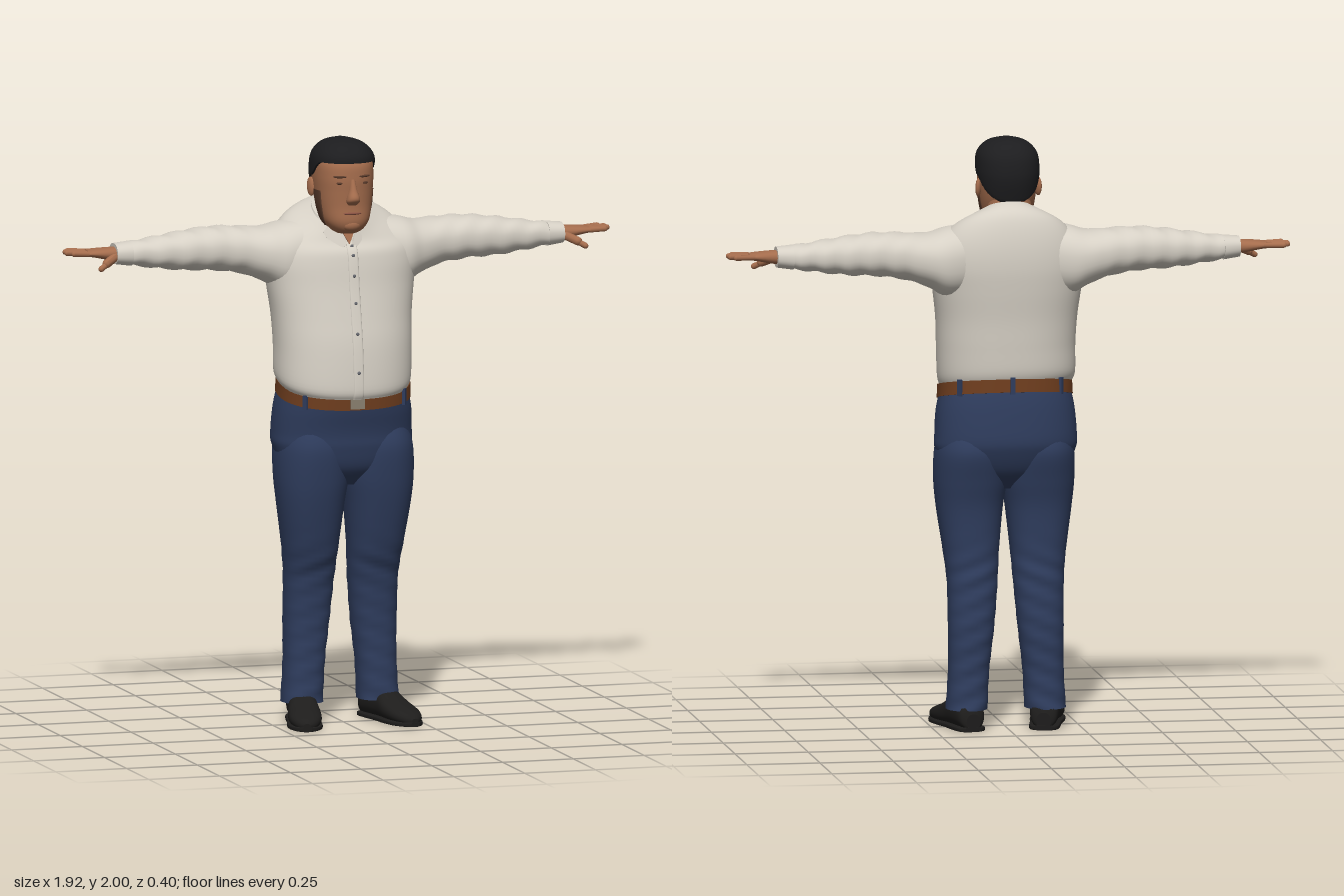
import * as THREE from 'three';

const mat = (name, color) => Object.assign(new THREE.MeshStandardMaterial({ color }), { name });
const M = {
  shirt: mat('shirt', 0xd6d0c5), skin: mat('skin', 0xa56d4d), jeans: mat('jeans', 0x2f3d5e),
  belt: mat('belt leather', 0x6e3d1e), hair: mat('hair', 0x1d1d1f), shoe: mat('shoe leather', 0x1e1d1c),
  stubble: mat('stubble', 0x5b3c2c), lip: mat('lips', 0x8a5243), button: mat('buttons', 0x6a6c72),
  buckle: mat('buckle', 0x8a8070),
};
const HEAD_X = -0.015;
const fade = (v, a, b) => THREE.MathUtils.smoothstep(v, a, b);

// Catmull-Rom blend of number rows
function blend(rows, i, u) {
  const at = (k) => rows[Math.min(Math.max(k, 0), rows.length - 1)];
  const [p, q, r, s] = [at(i - 1), at(i), at(i + 1), at(i + 2)];
  return q.map((_, k) => q[k] + 0.5 * u * (r[k] - p[k]
    + u * (2 * p[k] - 5 * q[k] + 4 * r[k] - s[k] + u * (3 * (q[k] - r[k]) + s[k] - p[k]))));
}

// Closed skin over rounded sections. Each row is [t, a0, a1, b0, b1];
// (t, a, b) is (x, y, z), (y, z, x) or (z, x, y) depending on the axis.
function loft(axis, rows, { n = 2.3, sides = 40, steps = 6, deform } = {}) {
  const pos = [], index = [], rings = [];
  for (let i = 0; i < rows.length - 1; i++) {
    for (let k = 0; k < steps; k++) rings.push(blend(rows, i, k / steps));
  }
  rings.push(rows[rows.length - 1]);
  const put = (t, a, b) => {
    const v = axis === 'x' ? new THREE.Vector3(t, a, b)
      : axis === 'y' ? new THREE.Vector3(b, t, a) : new THREE.Vector3(a, b, t);
    if (deform) deform(v);
    pos.push(v.x, v.y, v.z);
  };
  const bend = (c) => Math.sign(c) * Math.abs(c) ** (2 / n);
  const ring = ([t, a0, a1, b0, b1]) => {
    for (let j = 0; j < sides; j++) {
      const w = (j / sides) * Math.PI * 2;
      put(t, (a0 + a1) / 2 + (a1 - a0) / 2 * bend(Math.cos(w)), (b0 + b1) / 2 + (b1 - b0) / 2 * bend(Math.sin(w)));
    }
  };
  rings.forEach(ring);
  for (let i = 0; i < rings.length - 1; i++) {
    for (let j = 0; j < sides; j++) {
      const a = i * sides + j, b = i * sides + (j + 1) % sides;
      index.push(a, b, b + sides, a, b + sides, a + sides);
    }
  }
  for (const end of [0, 1]) {
    const r = end ? rings[rings.length - 1] : rings[0], base = pos.length / 3;
    ring(r);
    put(r[0], (r[1] + r[2]) / 2, (r[3] + r[4]) / 2);
    for (let j = 0; j < sides; j++) {
      const a = base + j, b = base + (j + 1) % sides;
      index.push(base + sides, ...(end ? [a, b] : [b, a]));
    }
  }
  const g = new THREE.BufferGeometry();
  g.setAttribute('position', new THREE.Float32BufferAttribute(pos, 3));
  g.setIndex(index);
  g.computeVertexNormals();
  return g;
}

// Copy reflected across x = 0
function mirrored(geo) {
  const g = geo.clone().scale(-1, 1, 1), ix = g.index.array;
  for (let i = 0; i < ix.length; i += 3) [ix[i], ix[i + 1]] = [ix[i + 1], ix[i]];
  g.computeVertexNormals();
  return g;
}
const blob = (x, y, z, sx, sy, sz) => new THREE.SphereGeometry(1, 16, 12).scale(sx, sy, sz).translate(x, y, z);

// Rounded rod between two points
function rod(p, q, r) {
  const a = new THREE.Vector3(...p), b = new THREE.Vector3(...q), d = b.clone().sub(a);
  const turn = new THREE.Quaternion().setFromUnitVectors(new THREE.Vector3(0, 1, 0), d.clone().normalize());
  return new THREE.CapsuleGeometry(r, d.length(), 5, 10).applyQuaternion(turn).translate(...a.add(b).multiplyScalar(0.5).toArray());
}
function plate(points, depth) {
  const shape = new THREE.Shape(points.map((p) => new THREE.Vector2(...p)));
  return new THREE.ExtrudeGeometry(shape, { depth, bevelEnabled: false });
}

export function createModel() {
  const root = new THREE.Group();
  root.name = 'standingMan';
  const add = (name, geo, material, parent = root) => {
    const m = new THREE.Mesh(geo, material);
    m.name = name;
    parent.add(m);
    return m;
  };
  const pair = (name, geo, material, parent, shift = 0) => {
    add(name + 'Left', geo, material, parent);
    add(name + 'Right', mirrored(geo), material, parent).position.x = shift;
  };

  // Shirt body, with the hem and the neckline sloping down to the front
  const torso = [
    [1.165, -0.165, 0.185, -0.225, 0.215], [1.2, -0.175, 0.195, -0.24, 0.225], [1.3, -0.18, 0.185, -0.24, 0.23],
    [1.4, -0.185, 0.165, -0.245, 0.235], [1.5, -0.195, 0.145, -0.257, 0.248], [1.58, -0.2, 0.132, -0.262, 0.258],
    [1.64, -0.195, 0.118, -0.245, 0.245], [1.69, -0.17, 0.1, -0.2, 0.195], [1.73, -0.13, 0.09, -0.13, 0.12],
    [1.755, -0.1, 0.085, -0.09, 0.075]];
  const slope = (v) => { v.y -= v.z * (0.2 * (1 - fade(v.y, 1.18, 1.36)) + 0.45 * fade(v.y, 1.6, 1.73)); };
  add('shirtBody', loft('y', torso, { sides: 56, deform: slope }), M.shirt);
  add('placket', loft('y', torso.slice(0, 8).map((r) => [r[0], r[2] - 0.03, r[2] + 0.004, -0.024, 0.014]),
    { n: 5, sides: 24, deform: slope }), M.shirt);
  for (let i = 1; i < 7; i++) {
    const r = blend(torso, i, 0.5), v = new THREE.Vector3(-0.005, r[0], r[2] + 0.004);
    slope(v);
    add('button', blob(v.x, v.y, v.z, 0.006, 0.006, 0.003), M.button);
  }

  // Collar, open neck and collar wings
  add('collar', loft('y', [[1.69, -0.125, 0.105, -0.13, 0.1], [1.72, -0.11, 0.094, -0.117, 0.09],
    [1.75, -0.095, 0.08, -0.104, 0.078]], { deform: (v) => { v.y -= 0.45 * v.z; } }), M.shirt);
  const neckline = new THREE.Group();
  neckline.name = 'neckline';
  neckline.position.set(-0.012, 1.645, 0.106);
  neckline.rotation.x = -0.34;
  root.add(neckline);
  add('openNeck', plate([[0, 0], [0.038, 0.08], [-0.038, 0.08]], 0.004), M.skin, neckline);
  for (const s of [1, -1]) {
    const pts = [[0.008, 0], [0.045, -0.025], [0.085, 0.05], [0.042, 0.09]].map(([x, y]) => [s * x, y]);
    add('collarWing', plate(pts, 0.008), M.shirt, neckline).rotation.y = s * 0.25;
  }

  // Sleeves with soft creases, and cuffs
  const sleeve = loft('x', [
    [0.08, 1.5, 1.725, -0.15, 0.06], [0.2, 1.475, 1.712, -0.183, 0.08], [0.27, 1.51, 1.695, -0.185, 0.055],
    [0.35, 1.54, 1.698, -0.175, 0.03], [0.45, 1.555, 1.7, -0.165, 0.022], [0.55, 1.56, 1.69, -0.152, 0.015],
    [0.65, 1.572, 1.675, -0.136, 0], [0.74, 1.585, 1.662, -0.122, -0.015], [0.78, 1.592, 1.658, -0.115, -0.02]],
    { deform: (v) => { v.y += 0.003 * Math.sin(v.x * 75 + v.z * 40) * fade(v.x, 0.25, 0.4); } });
  pair('sleeve', sleeve, M.shirt);
  pair('cuff', loft('x', [[0.735, 1.582, 1.665, -0.124, -0.013], [0.79, 1.59, 1.66, -0.116, -0.019]], { steps: 2 }), M.shirt);

  // Hands
  pair('palm', loft('x', [[0.76, 1.603, 1.65, -0.102, -0.035], [0.8, 1.603, 1.648, -0.104, -0.03],
    [0.85, 1.613, 1.645, -0.115, -0.03], [0.885, 1.62, 1.641, -0.115, -0.035]], { sides: 20, steps: 3 }), M.skin);
  [[0.935, -0.124, -0.106], [0.951, -0.1, -0.086], [0.953, -0.072, -0.065], [0.937, -0.043, -0.046]].forEach(
    ([x, z, z0]) => pair('finger', rod([0.87, 1.63, z0], [x, 1.633, z], 0.0095), M.skin));
  pair('thumbBase', rod([0.79, 1.62, -0.042], [0.832, 1.6, -0.012], 0.015), M.skin);
  pair('thumbTip', rod([0.832, 1.598, -0.012], [0.855, 1.585, 0.001], 0.01), M.skin);

  // Trousers: hips and legs with creases at the knee and hem
  add('hips', loft('y', [
    [0.82, -0.09, 0.07, -0.07, 0.07], [0.88, -0.15, 0.12, -0.2, 0.2], [0.95, -0.185, 0.14, -0.238, 0.238],
    [1, -0.195, 0.145, -0.241, 0.24], [1.08, -0.186, 0.158, -0.235, 0.234], [1.15, -0.168, 0.168, -0.222, 0.218]],
    { sides: 48, deform: (v) => { v.y -= 0.2 * v.z * fade(v.y, 1, 1.14); } }), M.jeans);
  pair('leg', loft('y', [
    [0.07, -0.135, 0.022, 0.068, 0.208], [0.2, -0.132, 0.02, 0.062, 0.2], [0.35, -0.137, 0.024, 0.045, 0.2],
    [0.5, -0.132, 0.042, 0.032, 0.202], [0.6, -0.128, 0.075, 0.025, 0.212], [0.75, -0.136, 0.112, 0.01, 0.233],
    [0.85, -0.158, 0.13, -0.004, 0.242], [0.95, -0.18, 0.138, 0, 0.238], [1.02, -0.16, 0.12, 0.02, 0.215]],
    { deform: (v) => { v.z += 0.004 * Math.sin(v.y * 85 + v.x * 35) * (1 - fade(v.y, 0.5, 0.7)); } }), M.jeans, root, 0.008);

  // Belt with buckle and loops, sloping down to the front
  const belt = new THREE.Group();
  belt.name = 'belt';
  root.add(belt);
  const beltRows = [[1.125, -0.18, 0.178, -0.231, 0.228], [1.17, -0.176, 0.178, -0.229, 0.226]];
  add('beltStrap', loft('y', beltRows, { sides: 56, steps: 2, deform: (v) => { v.y -= 0.2 * v.z; } }), M.belt, belt);
  add('buckle', new THREE.BoxGeometry(0.05, 0.036, 0.008), M.buckle, belt).position.set(-0.005, 1.112, 0.179);
  for (const w of [0.75, 2.39, 3.9, 4.71, 5.52]) {
    const bend = (c) => Math.sign(c) * Math.abs(c) ** (2 / 2.3);
    const x = 0.229 * bend(Math.cos(w)), z = 0.18 * bend(Math.sin(w));
    const loop = add('beltLoop', new THREE.BoxGeometry(0.016, 0.056, 0.01), M.jeans, belt);
    loop.position.set(x, 1.147 - 0.2 * z, z);
    loop.rotation.y = Math.atan2(x, z);
  }

  // Shoes, toes turned out
  const shoeRows = [
    [-0.142, -0.025, 0.025, 0.005, 0.06], [-0.125, -0.045, 0.045, 0.005, 0.095], [-0.06, -0.05, 0.05, 0.005, 0.115],
    [0, -0.05, 0.05, 0.005, 0.105], [0.06, -0.056, 0.056, 0.005, 0.078], [0.12, -0.054, 0.054, 0.005, 0.06],
    [0.165, -0.036, 0.036, 0.005, 0.043], [0.184, -0.012, 0.012, 0.01, 0.028]];
  const placeShoe = (g) => g.rotateY(0.22).translate(0.158, 0, 0);
  pair('shoe', placeShoe(loft('z', shoeRows, { sides: 28, steps: 4 })), M.shoe, root, 0.015);
  pair('sole', placeShoe(loft('z', shoeRows.map(([z, a, b]) => [z * 1.01, a - 0.003, b + 0.003, 0, 0.016]),
    { n: 6, sides: 28, steps: 4 })), M.shoe, root, 0.015);

  // Head and neck
  const head = new THREE.Group();
  head.name = 'head';
  head.position.x = HEAD_X;
  root.add(head);
  const wide = (rows) => rows.map(([y, z0, z1, w]) => [y, z0, z1, -w, w]);
  add('neck', loft('y', wide([[1.62, -0.08, 0.06, 0.08], [1.72, -0.077, 0.066, 0.077], [1.8, -0.07, 0.06, 0.075]])), M.skin, head);
  add('face', loft('y', wide([
    [1.685, 0.03, 0.12, 0.035], [1.7, 0, 0.145, 0.058], [1.73, -0.03, 0.157, 0.079], [1.78, -0.06, 0.155, 0.091],
    [1.83, -0.08, 0.157, 0.097], [1.88, -0.088, 0.159, 0.1], [1.93, -0.085, 0.15, 0.096], [1.97, -0.055, 0.105, 0.07],
    [1.985, -0.02, 0.05, 0.03]])), M.skin, head);
  const hairline = (z) => (z > 0 ? 1.875 + 0.055 * fade(z, 0.015, 0.1) : 1.875 + z * 1.05);
  add('hair', loft('y', wide([
    [1.77, -0.075, 0.1, 0.088], [1.85, -0.097, 0.15, 0.103], [1.9, -0.1, 0.163, 0.107], [1.95, -0.088, 0.162, 0.1],
    [1.985, -0.055, 0.125, 0.068], [2, -0.005, 0.065, 0.02]]),
    { sides: 48, steps: 8, deform: (v) => { v.y = Math.max(v.y, hairline(v.z)); } }), M.hair, head);
  add('jawStubble', loft('y', wide([[1.71, -0.02, 0.15, 0.071], [1.73, -0.034, 0.157, 0.082], [1.78, -0.06, 0.155, 0.094],
    [1.83, -0.08, 0.157, 0.1]]), { sides: 64, deform: (v) => { v.z = THREE.MathUtils.clamp(v.z, 0.025, 0.085); } }), M.stubble, head);

  // Facial features
  add('nose', loft('y', wide([[1.787, 0.13, 0.162, 0.016], [1.8, 0.13, 0.182, 0.023], [1.815, 0.13, 0.187, 0.021],
    [1.84, 0.13, 0.175, 0.014], [1.875, 0.13, 0.162, 0.009]]), { sides: 20 }), M.skin, head);
  add('mouth', blob(0, 1.758, 0.15, 0.033, 0.006, 0.009), M.lip, head);
  add('chin', blob(0, 1.718, 0.138, 0.034, 0.022, 0.02), M.skin, head);
  pair('eye', blob(0.04, 1.862, 0.148, 0.016, 0.005, 0.006), M.stubble, head);
  pair('brow', blob(0, 0, 0, 0.024, 0.005, 0.007).rotateY(0.35).translate(0.042, 1.884, 0.147), M.stubble, head);
  pair('ear', blob(0, 0, 0, 0.01, 0.033, 0.02).rotateY(-0.3).rotateX(-0.15).translate(0.102, 1.835, 0.008), M.skin, head);
  return root;
}
